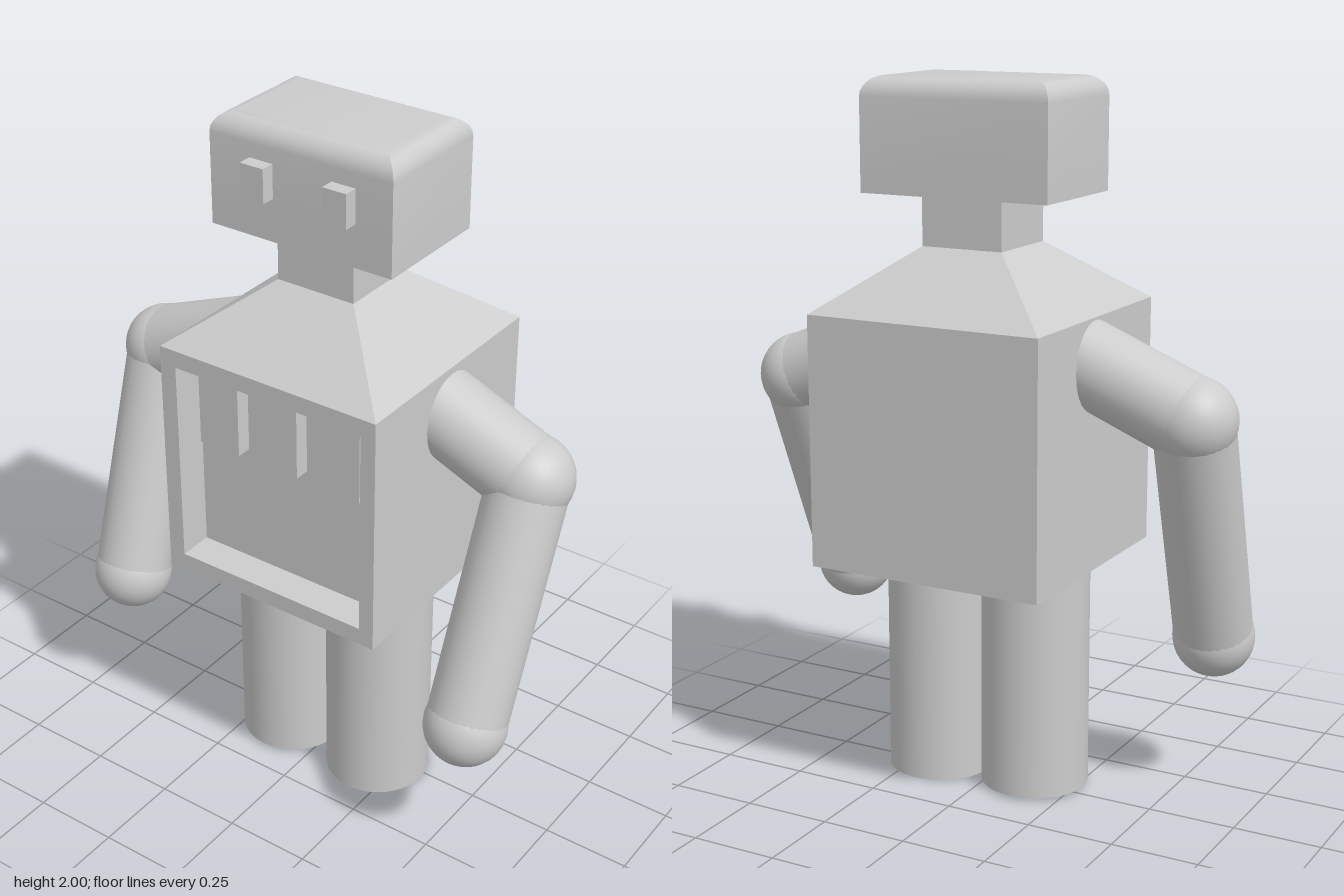
import * as THREE from 'three';
import { toCreasedNormals } from 'three/addons/utils/BufferGeometryUtils.js';

const CX = 0.015, CZ = -0.02; // axis of the torso, neck and head

export function createModel() {
  const robot = new THREE.Group();
  robot.name = 'robot';
  const grey = new THREE.MeshStandardMaterial({ color: 0xcccccc });
  grey.name = 'plain grey';

  const add = (name, geometry, x = 0, y = 0, z = 0) => {
    const mesh = new THREE.Mesh(geometry, grey);
    mesh.name = name;
    mesh.position.set(x, y, z);
    robot.add(mesh);
    return mesh;
  };
  // Box given by its limits on each axis
  const box = (name, x0, x1, y0, y1, z0, z1) =>
    add(name, new THREE.BoxGeometry(x1 - x0, y1 - y0, z1 - z0), (x0 + x1) / 2, (y0 + y1) / 2, (z0 + z1) / 2);

  // Torso: solid back block and a front frame around the recess
  const x0 = -0.33, x1 = 0.36, y0 = 0.68, y1 = 1.38, floorZ = 0.225;
  box('torso', x0, x1, y0, y1, -0.365, floorZ);
  const rect = (shape, a, b, c, d) => shape.moveTo(a, c).lineTo(b, c).lineTo(b, d).lineTo(a, d).closePath();
  const frame = rect(new THREE.Shape(), x0, x1, y0, y1);
  frame.holes.push(rect(new THREE.Path(), -0.28, 0.315, 0.73, 1.33));
  add('chestFrame', new THREE.ExtrudeGeometry(frame, { depth: 0.1, bevelEnabled: false }), 0, 0, floorZ);

  // Three raised blocks inside the recess
  for (const x of [-0.183, 0.01, 0.21]) box('chestBlock', x - 0.065, x + 0.065, 1.085, 1.295, floorZ - 0.01, floorZ + 0.045);

  // Sloping shoulders: square frustum
  const slope = new THREE.CylinderGeometry(0.12 * Math.SQRT2, 0.345 * Math.SQRT2, 0.17, 4).rotateY(Math.PI / 4);
  add('shoulders', toCreasedNormals(slope, 0.1), CX, 1.465, CZ);
  box('neck', -0.105, 0.135, 1.54, 1.7, -0.14, 0.1);

  // Head: rounded top edges, sharp vertical corners
  add('head', headGeometry(0.28, 0.18, 0.31, 0.055), 0.01, 1.69, CZ);
  for (const x of [-0.108, 0.145]) box('eye', x - 0.036, x + 0.036, 1.81, 1.905, 0.15, 0.2);

  // Legs
  add('rightLeg', new THREE.CylinderGeometry(0.153, 0.153, 0.68, 40), -0.127, 0.35, 0.025);
  add('leftLeg', new THREE.CylinderGeometry(0.152, 0.152, 0.69, 40), 0.18, 0.345, 0.025);

  // Arms: shoulder, elbow and hand points
  const limb = (name, a, b, r) => {
    const dir = b.clone().sub(a);
    const mesh = add(name, new THREE.CylinderGeometry(r, r, dir.length(), 32));
    mesh.position.copy(a).lerp(b, 0.5);
    mesh.quaternion.setFromUnitVectors(new THREE.Vector3(0, 1, 0), dir.normalize());
  };
  const arms = {
    left: [[0.2, 1.3, -0.03], [0.608, 1.133, -0.03], [0.61, 0.495, 0.247]],
    right: [[-0.2, 1.3, -0.03], [-0.615, 1.133, -0.032], [-0.6, 0.47, 0.19]],
  };
  for (const [side, points] of Object.entries(arms)) {
    const [shoulder, elbow, hand] = points.map((p) => new THREE.Vector3(...p));
    limb(side + 'UpperArm', shoulder, elbow, 0.116);
    limb(side + 'Forearm', elbow, hand, 0.111);
    add(side + 'Elbow', new THREE.SphereGeometry(0.119, 32, 20), ...elbow);
    add(side + 'Hand', new THREE.SphereGeometry(0.115, 32, 20), ...hand);
  }
  return robot;
}

// Stack of rectangles whose upper rings shrink along a quarter circle
function headGeometry(halfX, halfZ, height, r) {
  const steps = 6, rings = [[0, 0]];
  for (let i = 0; i <= steps; i++) {
    const t = (i / steps) * Math.PI / 2;
    rings.push([height - r + r * Math.sin(t), r * (1 - Math.cos(t))]);
  }
  const pos = [], index = [];
  for (const [y, inset] of rings) {
    const x = halfX - inset, z = halfZ - inset;
    pos.push(-x, y, z, x, y, z, x, y, -z, -x, y, -z);
  }
  for (let k = 0; k < rings.length - 1; k++) {
    for (let i = 0; i < 4; i++) {
      const a = k * 4 + i, b = k * 4 + (i + 1) % 4;
      index.push(a, b, b + 4, a, b + 4, a + 4);
    }
  }
  const top = (rings.length - 1) * 4;
  index.push(top, top + 1, top + 2, top, top + 2, top + 3, 0, 2, 1, 0, 3, 2);
  const geometry = new THREE.BufferGeometry();
  geometry.setAttribute('position', new THREE.Float32BufferAttribute(pos, 3));
  geometry.setIndex(index);
  return toCreasedNormals(geometry, 0.5);
}
